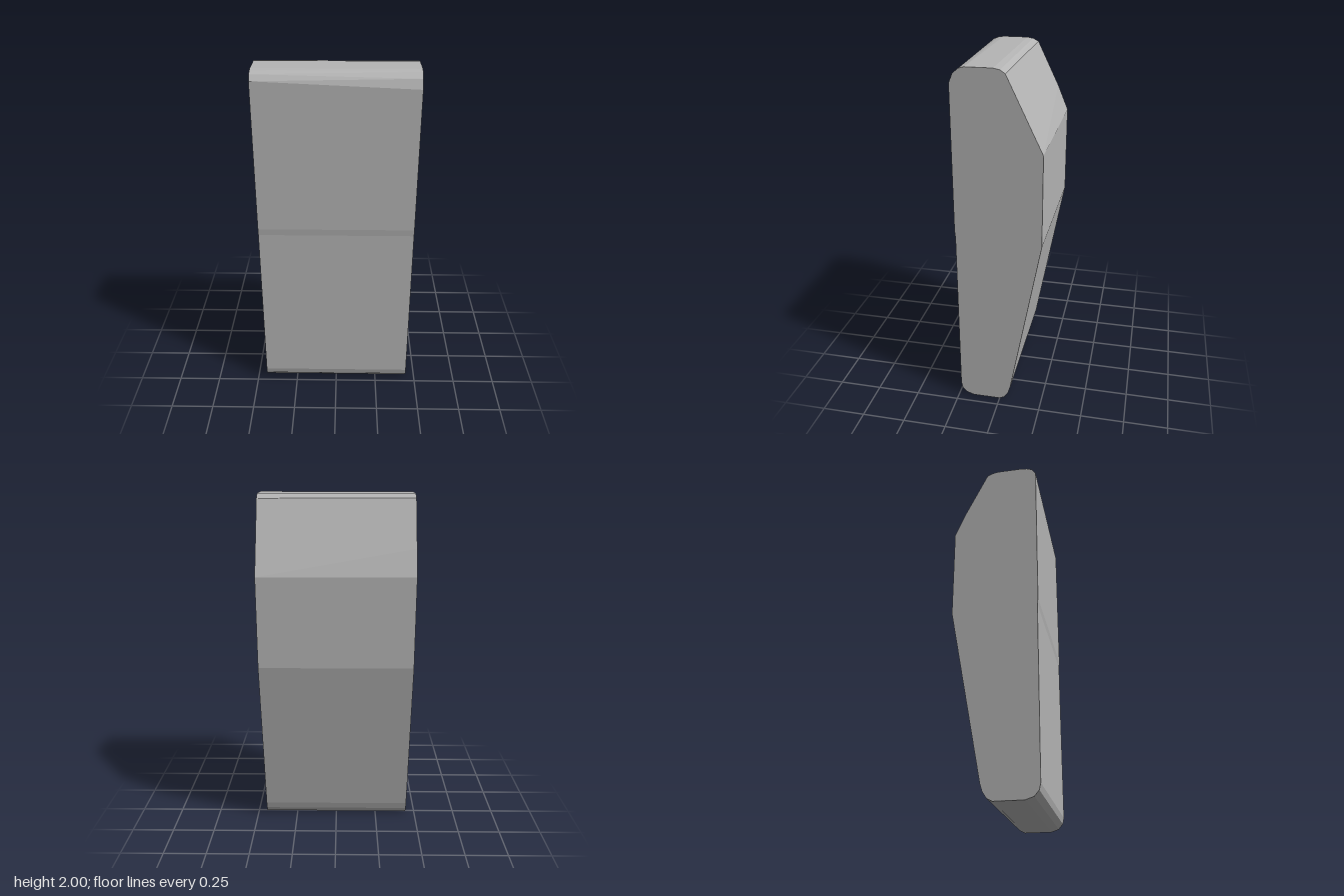
import * as THREE from 'three';

const HALF_WIDTH = 0.443;

// Side outline as [z, y], running from the lower front, along the base, up the back and over the top
const lower = [
  [0.238, 0.08], [0.23, 0.045], [0.205, 0.015], [0.16, 0],
  [0.0, 0], [-0.03, 0.015], [-0.052, 0.048], [-0.065, 0.09],
  [-0.242, 1.05], [-0.242, 1.57],
];
const front = [[0.242, 1.1], [0.238, 1.06]];

// The upper edges are slightly fuller at the right end than at the left end
const leftEnd = [
  ...lower,
  [-0.18, 1.698], [-0.047, 1.975], [-0.02, 1.993], [0.015, 2],
  [0.16, 2], [0.19, 1.992], [0.222, 1.966], [0.242, 1.915],
  ...front,
];
const rightEnd = [
  ...lower,
  [-0.18, 1.718], [-0.053, 1.978], [-0.02, 1.994], [0.015, 2],
  [0.16, 2], [0.19, 1.996], [0.22, 1.985], [0.242, 1.955],
  ...front,
];

// Flat-faced loft between the two end outlines, closed with fan caps
function loft(left, right) {
  const positions = [];
  const L = ([z, y]) => [HALF_WIDTH, y, z];
  const R = ([z, y]) => [-HALF_WIDTH, y, z];
  const centre = [0.08, 1];
  const n = left.length;
  for (let i = 0; i < n; i++) {
    const j = (i + 1) % n;
    const a = L(left[i]), b = L(left[j]), c = R(right[i]), d = R(right[j]);
    positions.push(...a, ...c, ...d, ...a, ...d, ...b);
    positions.push(...L(centre), ...a, ...b);
    positions.push(...R(centre), ...d, ...c);
  }
  const geometry = new THREE.BufferGeometry();
  geometry.setAttribute('position', new THREE.Float32BufferAttribute(positions, 3));
  geometry.computeVertexNormals();
  return geometry;
}

export function createModel() {
  const group = new THREE.Group();
  group.name = 'wedgeBackedPanel';

  const grey = new THREE.MeshStandardMaterial({ color: 0xb4b4b4 });
  grey.name = 'plain grey';

  const body = new THREE.Mesh(loft(leftEnd, rightEnd), grey);
  body.name = 'body';
  group.add(body);
  return group;
}
